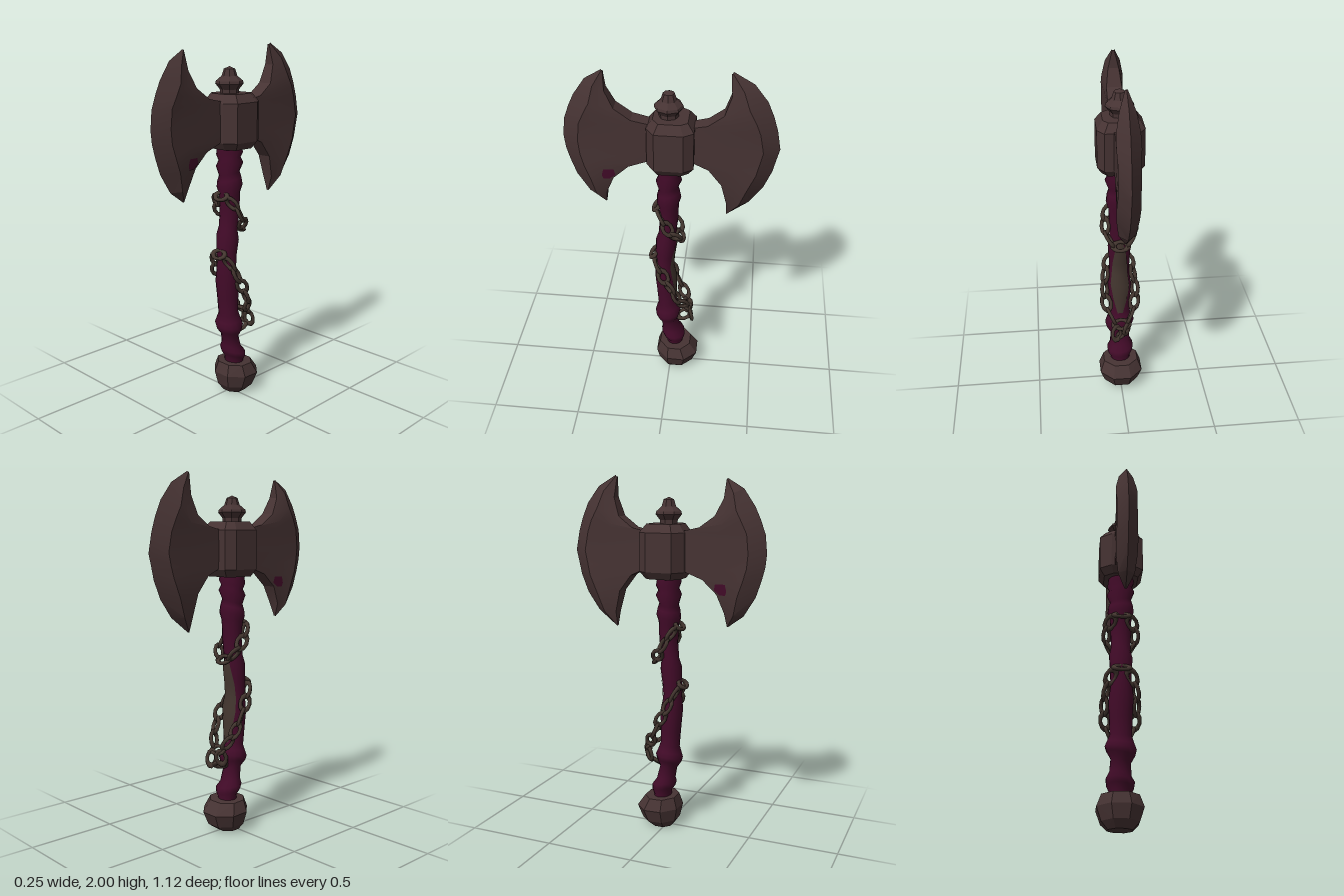
import * as THREE from 'three';
import { toCreasedNormals } from 'three/addons/utils/BufferGeometryUtils.js';
import { ConvexGeometry } from 'three/addons/geometries/ConvexGeometry.js';

const iron = new THREE.MeshStandardMaterial({ color: 0x463333 });
iron.name = 'dark iron';
const wrap = new THREE.MeshStandardMaterial({ color: 0x430b29 });
wrap.name = 'crimson wrap';
const chainMetal = new THREE.MeshStandardMaterial({ color: 0x43362f });
chainMetal.name = 'chain metal';
const stain = new THREE.MeshStandardMaterial({ color: 0x430b29, side: THREE.DoubleSide });
stain.name = 'crimson stain';

// Skin rows of points into a surface; closed joins the end of each row to its start
function skin(rows, closed, flip) {
  const n = rows[0].length;
  const index = [];
  for (let i = 0; i < rows.length - 1; i++) {
    for (let j = 0; j < (closed ? n : n - 1); j++) {
      const k = (j + 1) % n;
      const a = i * n + j, b = i * n + k, c = a + n, d = b + n;
      if (flip) index.push(a, b, c, b, d, c);
      else index.push(a, c, b, b, c, d);
    }
  }
  const g = new THREE.BufferGeometry();
  g.setAttribute('position', new THREE.Float32BufferAttribute(rows.flat(2), 3));
  g.setIndex(index);
  g.computeVertexNormals();
  return g;
}

function add(parent, name, geometry, material) {
  const mesh = new THREE.Mesh(geometry, material);
  mesh.name = name;
  parent.add(mesh);
  return mesh;
}

// Blade stations from lower to upper horn: inner z, y, outer z, y, half thickness
const frontBlade = [
  [0.35, 1.205, 0.356, 1.203, 0.006], [0.342, 1.28, 0.44, 1.265, 0.04],
  [0.30, 1.38, 0.505, 1.37, 0.052], [0.22, 1.455, 0.535, 1.46, 0.054],
  [0.11, 1.495, 0.553, 1.53, 0.05], [0.08, 1.60, 0.56, 1.60, 0.05],
  [0.11, 1.71, 0.55, 1.70, 0.05], [0.20, 1.73, 0.52, 1.78, 0.054],
  [0.285, 1.79, 0.492, 1.84, 0.052], [0.33, 1.88, 0.43, 1.93, 0.036],
  [0.336, 1.978, 0.343, 1.982, 0.006],
];
const backBlade = [
  [0.303, 1.165, 0.31, 1.165, 0.006], [0.30, 1.25, 0.42, 1.25, 0.04],
  [0.27, 1.37, 0.49, 1.35, 0.052], [0.20, 1.46, 0.53, 1.45, 0.054],
  [0.10, 1.505, 0.545, 1.52, 0.05], [0.07, 1.60, 0.56, 1.585, 0.05],
  [0.10, 1.70, 0.54, 1.69, 0.05], [0.19, 1.72, 0.515, 1.77, 0.054],
  [0.27, 1.78, 0.48, 1.85, 0.052], [0.303, 1.88, 0.41, 1.94, 0.036],
  [0.295, 1.99, 0.305, 2.0, 0.006],
];

// One blade cross-section: flat cheeks, a raised bevel line and a sharp edge
function bladeSection([iz, iy, oz, oy, t], side) {
  const bevel = 1 - Math.min(0.45, 0.085 / Math.max(oz - iz, 0.001));
  const at = (u, x) => [x, iy + (oy - iy) * u, side * (iz + (oz - iz) * u)];
  const half = [[0, 0.8], [bevel * 0.55, 0.95], [bevel, 1.12]];
  return [
    ...half.map(([u, k]) => at(u, k * t)), at(1, 0),
    ...half.slice().reverse().map(([u, k]) => at(u, -k * t)),
  ];
}

// Handle stations: y, z of the centre, radius
const handleStations = [
  [0.15, -0.03, 0.06], [0.2, -0.025, 0.057], [0.23, -0.02, 0.074], [0.26, -0.015, 0.078],
  [0.29, -0.005, 0.06], [0.36, 0.01, 0.054], [0.4, 0.015, 0.078], [0.43, 0.015, 0.086],
  [0.46, 0.018, 0.074], [0.5, 0.02, 0.06], [0.6, 0.025, 0.064], [0.7, 0.03, 0.07],
  [0.78, 0.035, 0.058], [0.86, 0.033, 0.06], [0.95, 0.025, 0.066], [1.0, 0.02, 0.055],
  [1.1, 0.01, 0.058], [1.2, 0.01, 0.062], [1.24, 0.01, 0.076], [1.28, 0.012, 0.07],
  [1.31, 0.012, 0.06], [1.36, 0.01, 0.08], [1.39, 0.01, 0.064], [1.42, 0.01, 0.078],
  [1.48, 0.01, 0.068],
];
const handlePoint = ([y, z, r], a, grow = 0) => [
  (r + grow) * Math.sin(a), y + 0.014 * Math.sin(a + y * 9), z + (r * 0.88 + grow) * Math.cos(a),
];

// Convex block from octagonal rings: y, z centre, x radius, z radius
function block(rings) {
  const pts = [];
  rings.forEach(([y, z, rx, rz], k) => {
    for (let i = 0; i < 8; i++) {
      const a = (i + 0.5) * Math.PI / 4;
      pts.push(new THREE.Vector3(rx * Math.sin(a) * 1.08, y - 0.12 * (k && z) * Math.cos(a), z + rz * Math.cos(a) * 1.08));
    }
  });
  return new ConvexGeometry(pts);
}

// Chain looped round the handle, hanging lower at the back
function chain(name, count, yFront, yBack, zFront, zBack, width) {
  const group = new THREE.Group();
  group.name = name;
  const pts = [];
  for (let i = 0; i < 16; i++) {
    const a = i * Math.PI / 8;
    const f = (1 - Math.cos(a)) / 2;
    pts.push(new THREE.Vector3(width * Math.sin(a), yFront + (yBack - yFront) * f, zFront + (zBack - zFront) * f));
  }
  const path = new THREE.CatmullRomCurve3(pts, true);
  const length = path.getLength() / count;
  for (let i = 0; i < count; i++) {
    const p = path.getPointAt(i / count);
    const tangent = path.getTangentAt(i / count);
    addLink(group, p, tangent, length, i % 2 ? 0.8 : -0.8);
  }
  return group;
}

function addLink(group, p, tangent, length, twist) {
  const g = new THREE.TorusGeometry(0.027, 0.011, 6, 10);
  g.scale(1, (length * 0.5 + 0.02) / 0.038, 1);
  g.rotateY(twist);
  const link = add(group, 'chainLink', g, chainMetal);
  link.position.copy(p);
  const out = new THREE.Vector3(p.x, 0, p.z - 0.01);
  const side = new THREE.Vector3().crossVectors(tangent, out).normalize();
  const normal = new THREE.Vector3().crossVectors(side, tangent).normalize();
  link.quaternion.setFromRotationMatrix(new THREE.Matrix4().makeBasis(side, tangent, normal));
}

export function createModel() {
  const axe = new THREE.Group();
  axe.name = 'doubleAxe';

  // Twin blades
  for (const [name, stations, side] of [['frontBlade', frontBlade, 1], ['backBlade', backBlade, -1]]) {
    const rows = stations.map((s) => bladeSection(s, side));
    add(axe, name, toCreasedNormals(skin(rows, true, side < 0), 0.35), iron);
  }

  // Stains on both cheeks of the front blade
  const low = bladeSection(frontBlade[2], 1), high = bladeSection(frontBlade[3], 1);
  for (const side of [1, -1]) {
    const rows = [[0, 0.3, 0.8], [0.3, 0.15, 1], [0.75, 0.5, 1]].map(([v, f0, f1]) => [f0, f1].map((f) => {
      const p = [0, 1, 2].map((k) => THREE.MathUtils.lerp(
        THREE.MathUtils.lerp(low[0][k], low[1][k], f), THREE.MathUtils.lerp(high[0][k], high[1][k], f), v));
      return [side * (p[0] + 0.005), p[1], p[2]];
    }));
    add(axe, 'bladeStain', skin(rows, false, side < 0), stain);
  }

  // Hub between the blades
  const outline = [[0.125, 0.075], [0.06, 0.12], [0.125, -0.075], [0.09, -0.125]];
  const hubPoints = [];
  for (const [y, k] of [[1.45, 0.78], [1.49, 1], [1.7, 1], [1.745, 0.74]]) {
    for (const [x, z] of outline) {
      for (const s of [1, -1]) hubPoints.push(new THREE.Vector3(s * x * k, y, z * k));
    }
  }
  add(axe, 'hub', new ConvexGeometry(hubPoints), iron);

  // Finial on top of the hub
  const finialProfile = [[0.05, 1.73], [0.052, 1.765], [0.076, 1.795], [0.072, 1.81], [0.042, 1.835], [0.03, 1.872], [0, 1.885]];
  const finial = new THREE.LatheGeometry(finialProfile.map(([r, y]) => new THREE.Vector2(r, y)), 8);
  add(axe, 'finial', toCreasedNormals(finial, 0.5), iron).position.z = 0.01;

  // Wrapped handle with swelling bands
  const sides = 14;
  const rows = handleStations.map((s) =>
    Array.from({ length: sides }, (_, j) => handlePoint(s, j / sides * Math.PI * 2)));
  add(axe, 'handle', skin(rows, true, true), wrap);

  // Bare strip on the back of the handle
  const strip = handleStations.filter(([y]) => y >= 0.5 && y <= 1.0).map((s) => {
    const w = 0.85 * Math.sin((s[0] - 0.44) / 0.62 * Math.PI);
    return Array.from({ length: 7 }, (_, j) => handlePoint(s, Math.PI + w * (j / 3 - 1), 0.004));
  });
  add(axe, 'handleStrip', skin(strip, false, true), chainMetal);

  // Faceted pommel
  add(axe, 'pommel', block([
    [0.005, -0.025, 0.065, 0.06], [0.045, -0.035, 0.1, 0.1], [0.12, -0.042, 0.125, 0.122], [0.185, -0.03, 0.1, 0.09],
  ]), iron);

  // Chains and the loose links at the back
  axe.add(chain('upperChain', 8, 1.19, 0.99, 0.075, -0.055, 0.08));
  const lower = chain('lowerChain', 12, 0.86, 0.48, 0.095, -0.1, 0.088);
  for (const [x, y, z, ty, tz] of [[0.03, 0.43, -0.12, 1, 0.2], [-0.03, 0.44, -0.1, 1, -0.3], [0, 0.39, -0.08, 0.4, -1]]) {
    addLink(lower, new THREE.Vector3(x, y, z), new THREE.Vector3(0, ty, tz).normalize(), 0.08, 0.6);
  }
  axe.add(lower);
  return axe;
}
